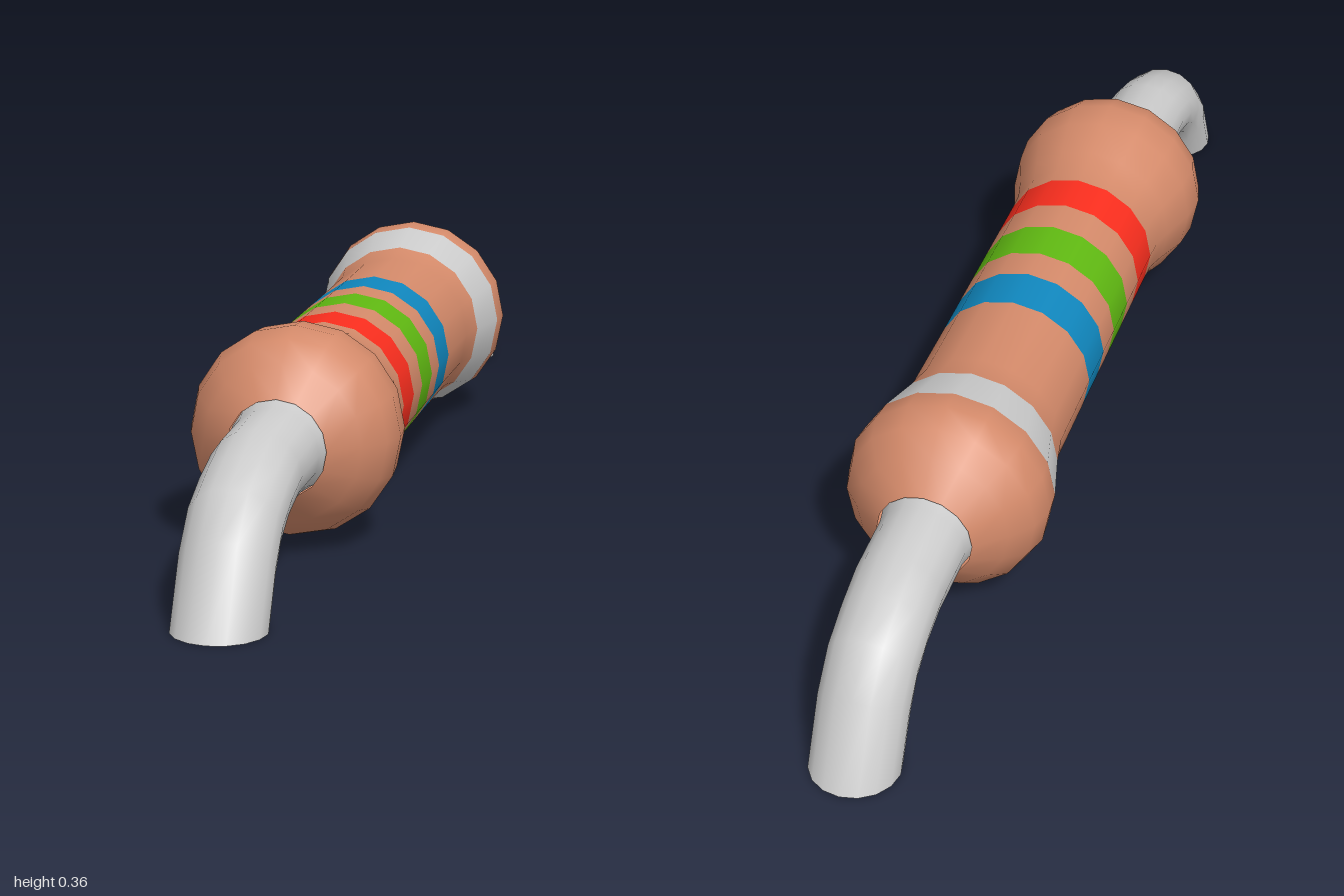
import * as THREE from 'three';

const AXIS_Y = 0.185, SIDES = 16;
const mat = (color) => new THREE.MeshStandardMaterial({ color, side: THREE.DoubleSide });

// [z, radius] along the body, back to front, including every band edge
const PROFILE = [
  [-0.59, 0.08], [-0.55, 0.128], [-0.512, 0.16], [-0.468, 0.172], [-0.428, 0.168],
  [-0.343, 0.146], [-0.29, 0.136], [-0.123, 0.135], [-0.037, 0.135], [0.027, 0.135],
  [0.11, 0.135], [0.18, 0.135], [0.262, 0.135], [0.3, 0.136], [0.34, 0.146],
  [0.405, 0.167], [0.46, 0.172], [0.505, 0.16], [0.545, 0.128], [0.583, 0.08],
];
// Profile index at which each coloured band starts
const BANDS = { 4: ['silverBand', 0xcccccc], 7: ['blueBand', 0x1087be], 9: ['greenBand', 0x60b912], 11: ['redBand', 0xfa2e1e] };

// Outer and inner outline points [z, y] of the bent wire, from body to foot
const WIRE = [
  [[0.57, 0.265], [0.57, 0.105]],
  [[0.605, 0.257], [0.605, 0.113]],
  [[0.715, 0.25], [0.715, 0.114]],
  [[0.785, 0.228], [0.772, 0.1]],
  [[0.862, 0.198], [0.808, 0.074]],
  [[0.928, 0.135], [0.829, 0.04]],
  [[0.998, 0], [0.852, 0]],
];

function wireGeometry() {
  const positions = [], index = [];
  WIRE.forEach(([outer, inner], i) => {
    const halfWidth = i === 0 ? 0.08 : 0.074;
    for (let j = 0; j < SIDES; j++) {
      const a = (j / SIDES) * Math.PI * 2, t = (1 - Math.cos(a)) / 2;
      positions.push(
        halfWidth * Math.sin(a),
        THREE.MathUtils.lerp(outer[1], inner[1], t),
        THREE.MathUtils.lerp(outer[0], inner[0], t));
      if (i === WIRE.length - 1) continue;
      const p = i * SIDES + j, q = i * SIDES + (j + 1) % SIDES;
      index.push(p, p + SIDES, q, q, p + SIDES, q + SIDES);
    }
  });
  const geometry = new THREE.BufferGeometry();
  geometry.setAttribute('position', new THREE.Float32BufferAttribute(positions, 3));
  geometry.setIndex(index);
  geometry.computeVertexNormals();
  return geometry;
}

export function createModel() {
  const model = new THREE.Group();
  model.name = 'resistor';

  // Body: one smooth lathe, its faces split by colour so shading runs across bands
  const lathe = new THREE.LatheGeometry(PROFILE.map(([z, r]) => new THREE.Vector2(r, z)), SIDES);
  lathe.rotateX(Math.PI / 2).translate(0, AXIS_Y, 0);
  const rows = PROFILE.length - 1, all = lathe.index.array;
  const addPart = (name, color, wanted) => {
    const index = [];
    for (let s = 0; s < SIDES; s++)
      for (let r = 0; r < rows; r++)
        if (wanted(r)) index.push(...all.slice((s * rows + r) * 6, (s * rows + r + 1) * 6));
    const geometry = lathe.clone();
    geometry.setIndex(index);
    const mesh = new THREE.Mesh(geometry, mat(color));
    mesh.name = name;
    model.add(mesh);
  };
  addPart('body', 0xd48a6a, (r) => !(r in BANDS));
  for (const [row, [name, color]] of Object.entries(BANDS)) addPart(name, color, (r) => r === Number(row));

  // Bent wire leads, open at the feet
  const wire = wireGeometry();
  ['frontWire', 'backWire'].forEach((name, i) => {
    const mesh = new THREE.Mesh(wire, mat(0xcccccc));
    mesh.name = name;
    mesh.rotation.y = i * Math.PI;
    model.add(mesh);
  });
  return model;
}
